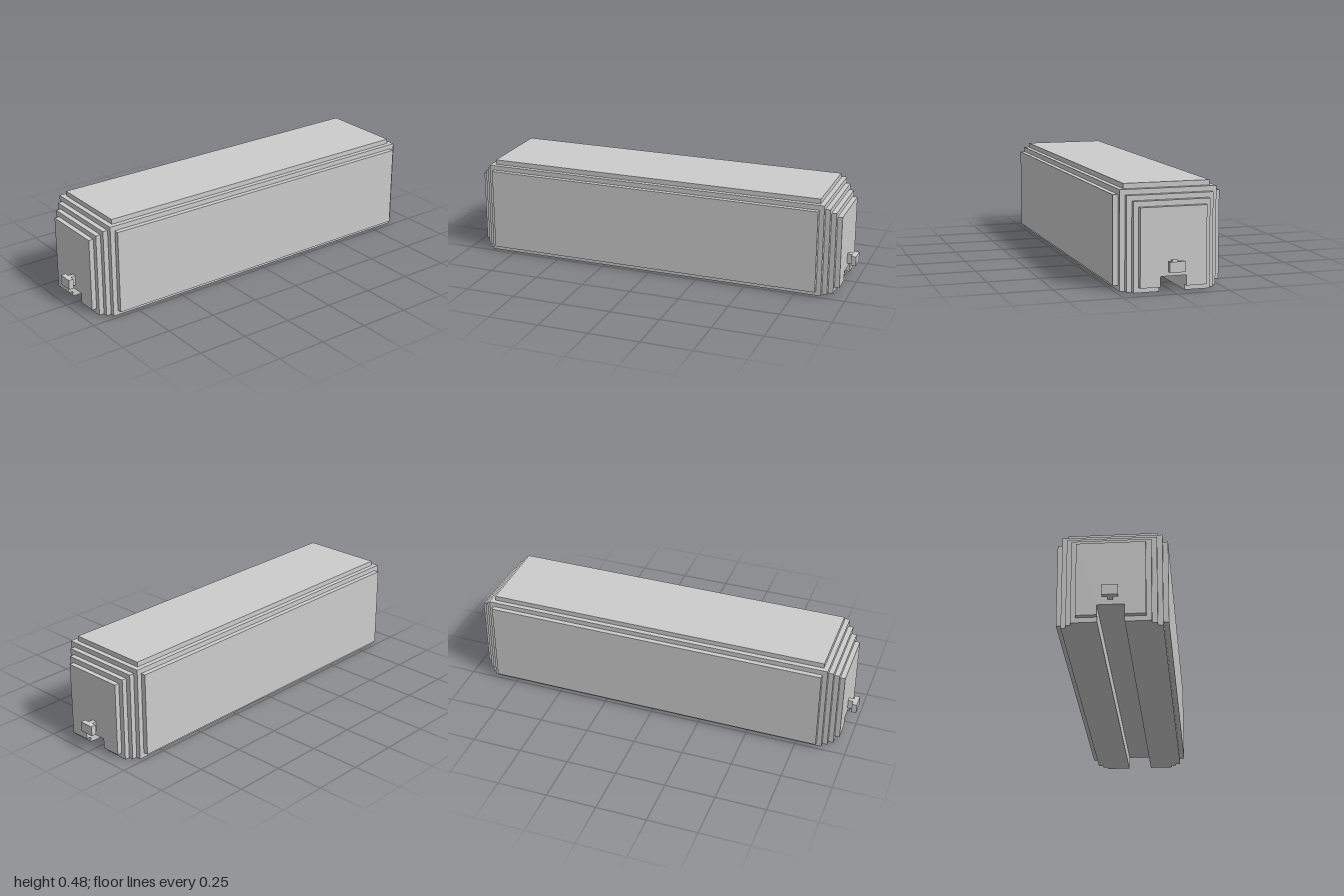
import * as THREE from 'three';

const material = new THREE.MeshStandardMaterial({ color: 0xcccccc, flatShading: true });

// Underside channel running the whole length
const CHANNEL_HALF = 0.061, CHANNEL_TOP = 0.073;

// Extrudes a mirrored outline (list of [z, y] for one side, bottom to top) along x
function slab(name, half, x0, x1) {
  const side = [[CHANNEL_HALF, CHANNEL_TOP], [CHANNEL_HALF, half[0][1]], ...half];
  const outline = [...side, ...side.map(([z, y]) => [-z, y]).reverse()];
  const shape = new THREE.Shape(outline.map(([z, y]) => new THREE.Vector2(z, y)));
  const geometry = new THREE.ExtrudeGeometry(shape, { depth: x1 - x0, bevelEnabled: false });
  geometry.rotateY(Math.PI / 2).translate(x0, 0, 0);
  const mesh = new THREE.Mesh(geometry, material);
  mesh.name = name;
  return mesh;
}

function box(name, x0, x1, y0, y1, halfZ) {
  const mesh = new THREE.Mesh(new THREE.BoxGeometry(x1 - x0, y1 - y0, halfZ * 2), material);
  mesh.position.set((x0 + x1) / 2, (y0 + y1) / 2, 0);
  mesh.name = name;
  return mesh;
}

export function createModel() {
  const model = new THREE.Group();
  model.name = 'railCar';

  // Main body with raised side panels and stepped roof
  model.add(slab('body', [
    [0.229, 0], [0.229, 0.0245], [0.2535, 0.0245], [0.2535, 0.435], [0.229, 0.435],
    [0.229, 0.459], [0.205, 0.459], [0.205, 0.483],
  ], -0.854, 0.854));

  // Stepped ends: inner x, outer x, half width, bottom, top
  const steps = [
    [0.854, 0.878, 0.229, 0, 0.459],
    [0.878, 0.9025, 0.205, 0, 0.435],
    [0.9025, 0.927, 0.181, 0, 0.411],
    [0.927, 0.951, 0.157, 0.0245, 0.386],
  ];
  for (const s of [1, -1]) {
    const end = new THREE.Group();
    end.name = s > 0 ? 'leftEnd' : 'rightEnd';
    for (const [x0, x1, w, y0, y1] of steps) end.add(slab('endStep', [[w, y0], [w, y1]], x0, x1));
    // Coupling
    end.add(box('couplingShaft', 0.951, 0.9755, 0.0975, 0.146, 0.0122));
    end.add(box('couplingHead', 0.9755, 1, 0.0975, 0.146, 0.0366));
    if (s < 0) end.rotation.y = Math.PI;
    model.add(end);
  }
  return model;
}
